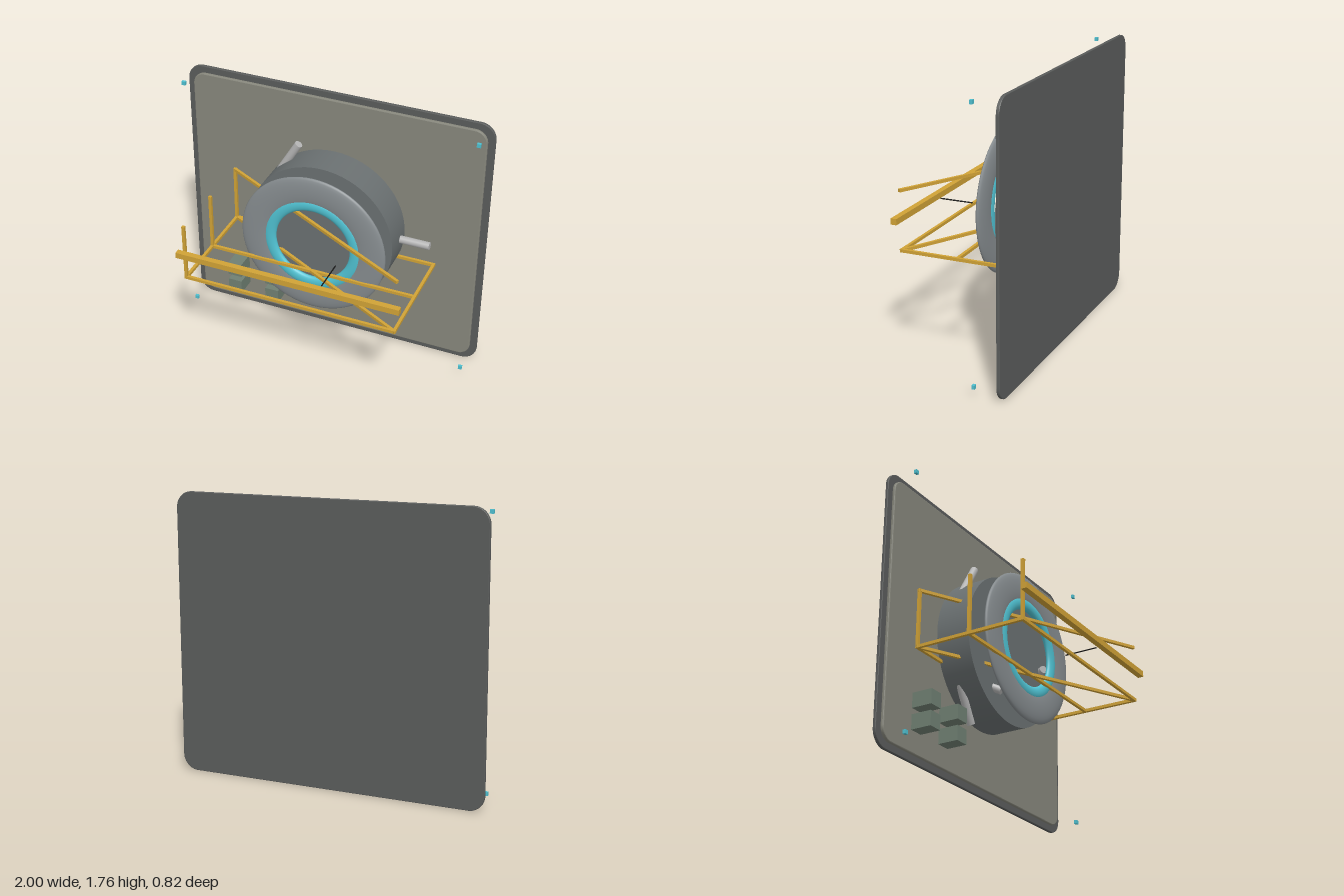
import * as THREE from 'three';

const CY = 0.885; // height of the drum axis
const V = (x, y, z) => new THREE.Vector3(x, y, z);
const mat = (color) => new THREE.MeshStandardMaterial({ color });

export function createModel() {
  const root = new THREE.Group();
  const plateMat = mat(0x5a5c5b), panelMat = mat(0x86867b), drumMat = mat(0x6a7071);
  const ringMat = mat(0x858b8e), steelMat = mat(0xb4b4b4), cyanMat = mat(0x4fc0d0);
  const goldMat = mat(0xd0a236), boxMat = mat(0x6f7f72), blackMat = mat(0x151515);

  const add = (name, geo, material, parent = root) => {
    const m = new THREE.Mesh(geo, material);
    m.name = name;
    parent.add(m);
    return m;
  };
  const group = (name) => {
    const g = new THREE.Group();
    g.name = name;
    root.add(g);
    return g;
  };
  const box = (name, size, pos, material, parent) =>
    add(name, new THREE.BoxGeometry(...size), material, parent).position.set(...pos);

  // round rod between two points
  const rod = (name, a, b, r, material, parent) => {
    const m = add(name, new THREE.CylinderGeometry(r, r, a.distanceTo(b), 16), material, parent);
    m.position.copy(a).lerp(b, 0.5);
    m.quaternion.setFromUnitVectors(V(0, 1, 0), b.clone().sub(a).normalize());
  };
  // level or upright square bar between two points
  const bar = (name, a, b, parent, t = 0.019) => {
    const d = b.clone().sub(a);
    const m = add(name, new THREE.BoxGeometry(t, t, d.length() + t), goldMat, parent);
    m.position.copy(a).lerp(b, 0.5);
    m.lookAt(b);
  };

  // rounded slab extruded along z
  const slab = (name, w, h, r, z0, depth, bevel, material) => {
    const x = w / 2 - bevel, y = h / 2 - bevel, c = r - bevel, s = new THREE.Shape();
    s.absarc(x - c, y - c, c, 0, Math.PI / 2);
    s.absarc(-x + c, y - c, c, Math.PI / 2, Math.PI);
    s.absarc(-x + c, -y + c, c, Math.PI, Math.PI * 1.5);
    s.absarc(x - c, -y + c, c, Math.PI * 1.5, Math.PI * 2);
    const geo = new THREE.ExtrudeGeometry(s, {
      depth: depth - 2 * bevel, curveSegments: 10, bevelEnabled: bevel > 0,
      bevelSize: bevel, bevelThickness: bevel, bevelSegments: 2,
    });
    add(name, geo, material).position.set(0, 0.88, z0 + bevel);
  };
  slab('backPlate', 2, 1.76, 0.1, -0.41, 0.021, 0.004, plateMat);
  slab('frontPanel', 1.915, 1.675, 0.08, -0.392, 0.023, 0.006, panelMat);

  // drum on the panel
  const drum = add('drum', new THREE.CylinderGeometry(0.48, 0.48, 0.235, 64), drumMat);
  drum.rotation.x = Math.PI / 2;
  drum.position.set(0, CY, -0.2625);

  // flattened rings floating ahead of the drum
  const ring = (name, R, t, half, material) => {
    const m = add(name, new THREE.TorusGeometry(R, t, 24, 72), material);
    m.scale.z = half / t;
    m.position.set(0, CY, -0.027);
  };
  ring('outerRing', 0.38, 0.1, 0.023, ringMat);
  ring('glowRing', 0.286, 0.04, 0.022, cyanMat);

  // pins on the drum side and stubs on its front face
  const pins = group('drumPins');
  rod('sidePin', V(0.41, CY, -0.293), V(0.672, CY, -0.293), 0.025, steelMat, pins);
  rod('frontStub', V(0.39, CY, -0.2), V(0.33, CY, -0.105), 0.025, steelMat, pins);
  for (const s of [1, -1]) {
    rod('sidePin', V(-0.335, CY + s * 0.31, -0.293), V(-0.207, CY + s * 0.525, -0.293), 0.025, steelMat, pins);
    rod('frontStub', V(-0.205, CY + s * 0.285, -0.2), V(-0.168, CY + s * 0.33, -0.105), 0.025, steelMat, pins);
  }

  // gold frame: lower rectangle, cross bar, diagonals and three posts
  const frame = group('frame');
  const X = 0.685, Z = 0.36, lo = 0.70, hi = 1.07;
  for (const z of [-Z, 0, Z]) {
    bar('crossBar', V(-X, lo, z), V(X, lo, z), frame);
    box('post', [0.019, hi - lo + 0.019, 0.019], [-X, (lo + hi) / 2, z], goldMat, frame);
  }
  for (const x of [-X, X]) bar('sideBar', V(x, lo, -Z), V(x, lo, Z), frame);
  for (const y of [lo, hi]) bar('diagonalBar', V(-X, y, -Z), V(X, y, Z), frame);
  box('frontBeam', [1.45, 0.038, 0.038], [0, CY, 0.39], goldMat, frame);

  // thin needle behind the beam
  rod('needle', V(0.215, CY, 0.125), V(0.215, CY, 0.342), 0.004, blackMat);

  // four blocks at the lower corner of the panel
  const blocks = group('blocks');
  for (const x of [-0.655, -0.386])
    for (const y of [0.225, 0.358])
      box('block', [0.094, 0.094, 0.14], [x, y, -0.305], boxMat, blocks);

  // small corner markers
  const markers = group('cornerMarkers');
  for (const x of [-0.947, 0.947])
    for (const y of [0.053, 1.712])
      box('marker', [0.024, 0.024, 0.018], [x, y, -0.225], cyanMat, markers);

  return root;
}
